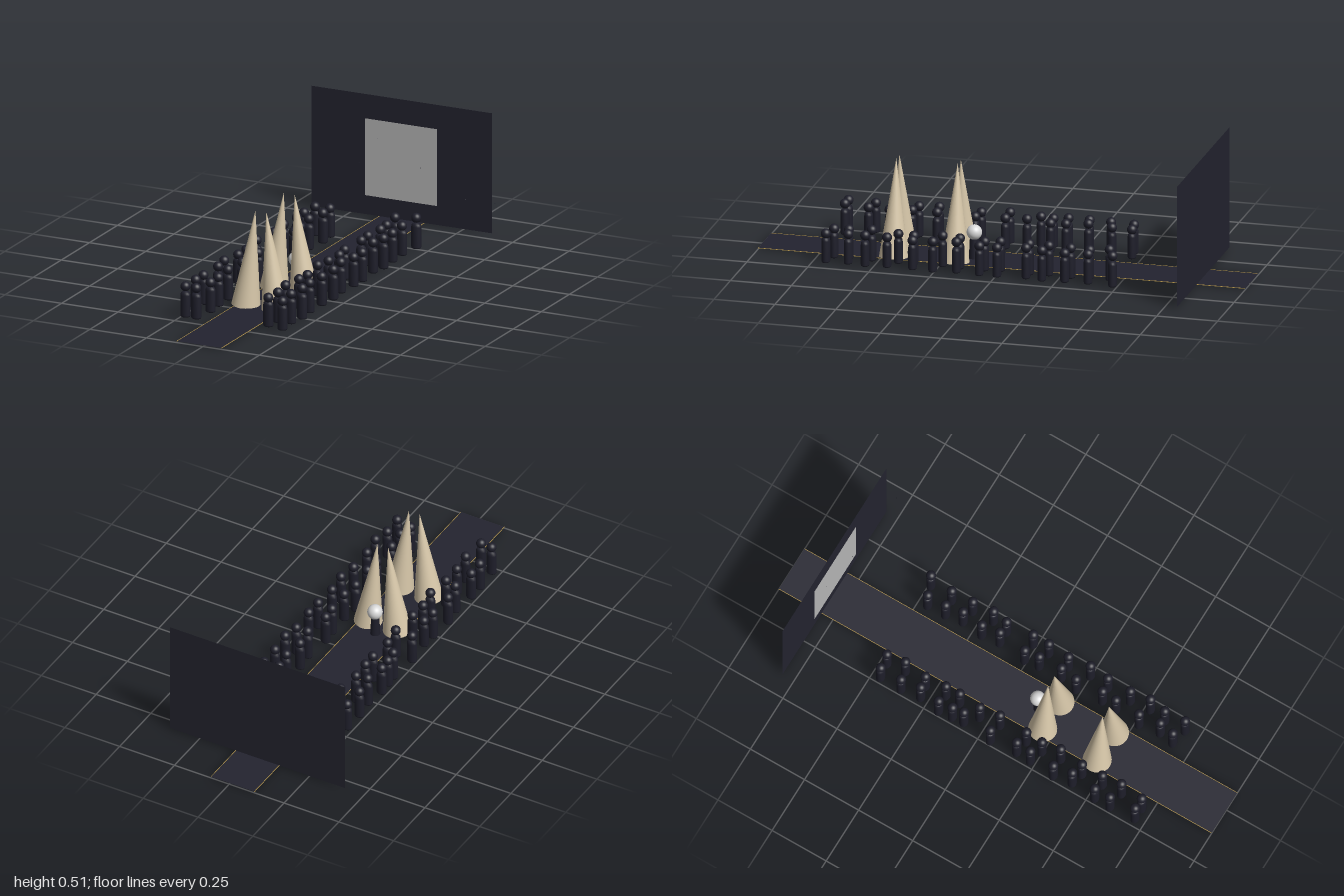
import * as THREE from 'three';

const mat = (name, color, side = THREE.FrontSide) => {
  const m = new THREE.MeshStandardMaterial({ color, side });
  m.name = name;
  return m;
};

export function createModel() {
  const model = new THREE.Group();
  model.name = 'runwayShow';
  const midnight = mat('midnight', 0x23232f, THREE.DoubleSide);
  const figureDark = mat('figureDark', 0x1e1e2a);
  const screenGrey = mat('screenGrey', 0xb6b6b6);
  const cream = mat('cream', 0xd8c8aa);
  const pale = mat('pale', 0xd8d8d8);
  const gold = mat('gold', 0xb8984c);

  const add = (name, geo, material, x, y, z, parent = model) => {
    const mesh = new THREE.Mesh(geo, material);
    mesh.name = name;
    mesh.position.set(x, y, z);
    parent.add(mesh);
    return mesh;
  };
  const cx = -0.016; // centre line of the runway

  // Flat runway with thin trim along both sides
  add('runway', new THREE.PlaneGeometry(0.197, 2).rotateX(-Math.PI / 2), midnight, cx, 0.007, 0);
  for (const s of [-1, 1]) {
    add('runwayTrim', new THREE.BoxGeometry(0.002, 0.002, 2), gold, cx + s * 0.099, 0.007, 0);
  }

  // Back wall and its screen
  add('backWall', new THREE.PlaneGeometry(0.798, 0.5), midnight, cx, 0.257, -0.802);
  add('screen', new THREE.PlaneGeometry(0.319, 0.32), screenGrey, cx - 0.001, 0.247, -0.798);

  // Two pairs of tall cones leaning towards each other
  const coneGeo = new THREE.ConeGeometry(0.058, 0.4, 48);
  for (const z of [0.2, 0.452]) {
    for (const s of [-1, 1]) {
      const cone = add('leaningCone', coneGeo, cream, cx + s * 0.045, 0.206, z);
      cone.rotation.z = s * 0.105;
    }
  }

  // Small figure with a pale head standing behind the cones
  add('performerBody', new THREE.CylinderGeometry(0.016, 0.02, 0.085, 24), figureDark, cx, 0.05, 0.14);
  add('performerHead', new THREE.SphereGeometry(0.031, 32, 20), pale, cx, 0.115, 0.138);

  // Audience: rounded bodies with ball heads, two columns on each side
  const profile = [[0, 0.01], [0.015, 0.01], [0.019, 0.012], [0.021, 0.017], [0.021, 0.1],
    [0.019, 0.109], [0.014, 0.115], [0, 0.118]].map(([r, y]) => new THREE.Vector2(r, y));
  const bodyGeo = new THREE.LatheGeometry(profile, 20).scale(1, 1, 0.82);
  const headGeo = new THREE.SphereGeometry(0.02, 20, 14);
  const columns = [
    [-0.228, [-0.46, -0.365, -0.28, -0.19, -0.13, -0.08, 0.05, 0.165, 0.23, 0.34, 0.42, 0.53, 0.6, 0.71]],
    [-0.166, [-0.468, -0.388, -0.288, -0.198, -0.135, -0.036, 0.05, 0.175, 0.25, 0.33, 0.435, 0.527, 0.611, 0.712]],
    [0.132, [-0.456, -0.3, -0.375, -0.208, -0.13, -0.008, 0.055, 0.156, 0.23, 0.345, 0.41, 0.52, 0.611, 0.675]],
    [0.197, [-0.488, -0.385, -0.29, -0.198, -0.13, -0.013, 0.06, 0.156, 0.25, 0.335, 0.44, 0.527, 0.6, 0.69]],
  ];
  for (const [x, rows] of columns) {
    rows.forEach((z, i) => {
      const person = new THREE.Group();
      person.name = 'spectator';
      person.position.set(x + 0.007 * Math.sin(i * 2.3 + x * 40), 0, z);
      add('spectatorBody', bodyGeo, figureDark, 0, 0, 0, person);
      add('spectatorHead', headGeo, figureDark, 0, 0.133 + 0.004 * Math.sin(i * 1.7 + x * 9), 0, person);
      model.add(person);
    });
  }

  // Tiny floating specks near the wall
  const speckGeo = new THREE.SphereGeometry(0.0015, 8, 6);
  for (const [x, y, z] of [[-0.2, 0.22, -0.79], [-0.112, 0.338, -0.78], [0.078, 0.243, -0.775],
    [0.28, 0.143, -0.77], [0.412, 0.145, -0.77]]) {
    add('speck', speckGeo, figureDark, x, y, z);
  }
  return model;
}
